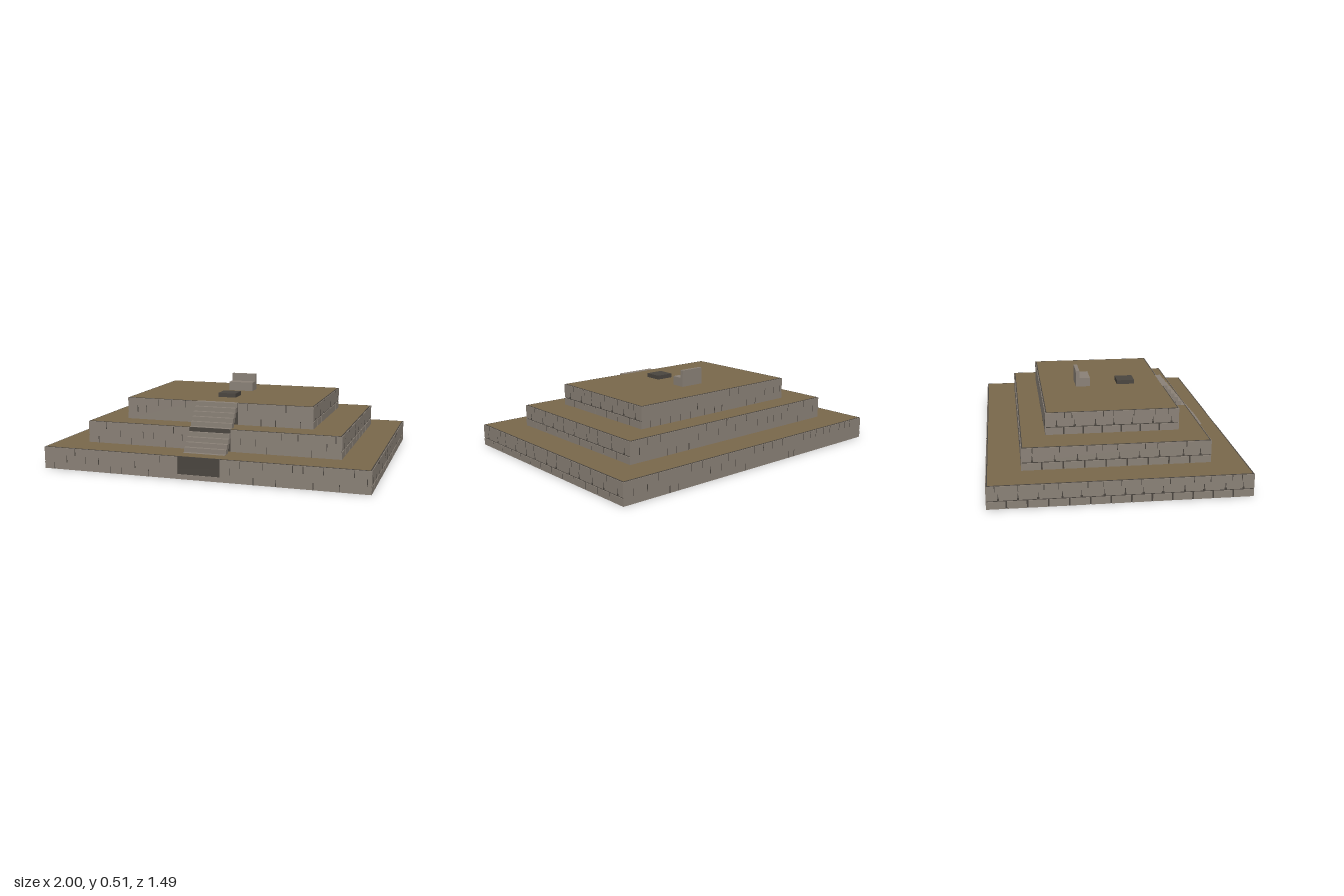
import * as THREE from 'three';

const stone = new THREE.MeshStandardMaterial({ color: 0x8a8177 });
stone.name = 'stone';
const mortar = new THREE.MeshStandardMaterial({ color: 0x4a453f });
mortar.name = 'mortar';
const earth = new THREE.MeshStandardMaterial({ color: 0x79684b });
earth.name = 'packedEarth';

const TIER_H = 0.135;
const STAIR_HALF = 0.13;
const FACING = 0.004;

// box given by its min and max corners
function box(parent, name, mat, x0, x1, y0, y1, z0, z1) {
  const mesh = new THREE.Mesh(new THREE.BoxGeometry(x1 - x0, y1 - y0, z1 - z0), mat);
  mesh.position.set((x0 + x1) / 2, (y0 + y1) / 2, (z0 + z1) / 2);
  mesh.name = name;
  parent.add(mesh);
  return mesh;
}

function seeded(seed) {
  return () => (seed = (seed * 16807) % 2147483647) / 2147483647;
}
const rand = seeded(4217);

// mortar backing, shared by all walls; the wall runs along x and faces +z
function backing(wall, half, dist) {
  const d = dist - FACING;
  box(wall, 'mortarBacking', mortar, -half + FACING, half - FACING, 0, TIER_H, d - 0.008, d);
}

// smooth faced wall with short scattered joints, optionally open at the stairs
function longWall(half, dist, open) {
  const wall = new THREE.Group();
  backing(wall, half, dist);
  const end = half - FACING;
  const spans = open ? [[-end, -STAIR_HALF], [STAIR_HALF, end]] : [[-end, end]];
  for (const [a, b] of spans) {
    box(wall, 'stoneFacing', stone, a, b, 0, TIER_H - 0.002, dist - FACING, dist);
    for (let x = a + 0.06; x < b - 0.02; x += 0.05 + rand() * 0.05) {
      const y = Math.floor(rand() * 3) * 0.045;
      box(wall, 'joint', mortar, x, x + 0.004, y, y + 0.042, dist - 0.002, dist + 0.0006);
    }
  }
  return wall;
}

// wall with a distinct lower course of blocks and keyed joints above
function sideWall(half, dist) {
  const wall = new THREE.Group();
  backing(wall, half, dist);
  const z0 = dist - FACING;
  const count = Math.round((2 * half) / 0.118);
  const pitch = (2 * half) / count;
  for (let i = 0; i < count; i++) {
    const a = -half + i * pitch;
    const gap = i < count - 1 ? 0.009 : 0;
    box(wall, 'lowerBlock', stone, a, a + pitch - gap, 0, 0.043, z0, dist);
  }
  box(wall, 'upperFacing', stone, -half, half, 0.049, TIER_H - 0.002, z0, dist);
  for (let i = 0; i < count; i++) {
    const x = -half + (i + 0.45 + rand() * 0.2) * pitch;
    const f0 = dist - 0.002, f1 = dist + 0.0006;
    box(wall, 'joint', mortar, x - 0.002, x + 0.002, 0.049, 0.088, f0, f1);
    box(wall, 'jointFoot', mortar, x - 0.006, x + 0.006, 0.049, 0.06, f0, f1);
    const t = x + (rand() - 0.3) * 0.08;
    if (t < half - 0.02) box(wall, 'topJoint', mortar, t - 0.002, t + 0.002, 0.1, 0.133, f0, f1);
  }
  return wall;
}

// one hollow terrace: four walls and an earth deck
function terrace(name, w, d, y) {
  const tier = new THREE.Group();
  tier.name = name;
  tier.position.y = y;
  const walls = [
    ['frontWall', longWall(w, d, true), 0],
    ['leftWall', sideWall(d, w), Math.PI / 2],
    ['backWall', longWall(w, d, false), Math.PI],
    ['rightWall', sideWall(d, w), -Math.PI / 2],
  ];
  for (const [wallName, wall, turn] of walls) {
    wall.name = wallName;
    wall.rotation.y = turn;
    tier.add(wall);
  }
  const inset = 0.01;
  box(tier, 'earthDeck', earth, -w + inset, w - inset, TIER_H - 0.008, TIER_H + 0.0005, -d + inset, d - inset);
  return tier;
}

export function createModel() {
  const model = new THREE.Group();
  model.name = 'steppedPlatform';

  // terraces
  [['lowerTerrace', 1, 0.746], ['middleTerrace', 0.798, 0.546], ['upperTerrace', 0.597, 0.396]]
    .forEach(([name, w, d], i) => model.add(terrace(name, w, d, i * TIER_H)));

  // continuous stair, partly sunk into the terraces
  const stairs = new THREE.Group();
  stairs.name = 'stairs';
  const rise = TIER_H / 5, run = 0.0233;
  for (let k = 0; k < 15; k++) {
    const front = 0.747 - k * run;
    box(stairs, 'step', stone, -STAIR_HALF, STAIR_HALF, k * rise, (k + 1) * rise + 0.0015, front - 0.036, front);
  }
  model.add(stairs);

  // seat and hearth on the summit
  const top = 3 * TIER_H;
  const throne = new THREE.Group();
  throne.name = 'throne';
  box(throne, 'seat', stone, -0.08, 0.08, top, 0.461, -0.167, -0.076);
  box(throne, 'backrest', stone, -0.08, 0.08, 0.461, 0.51, -0.167, -0.144);
  model.add(throne);
  box(model, 'hearth', mortar, -0.057, 0.057, top, 0.431, 0.102, 0.214);

  return model;
}
